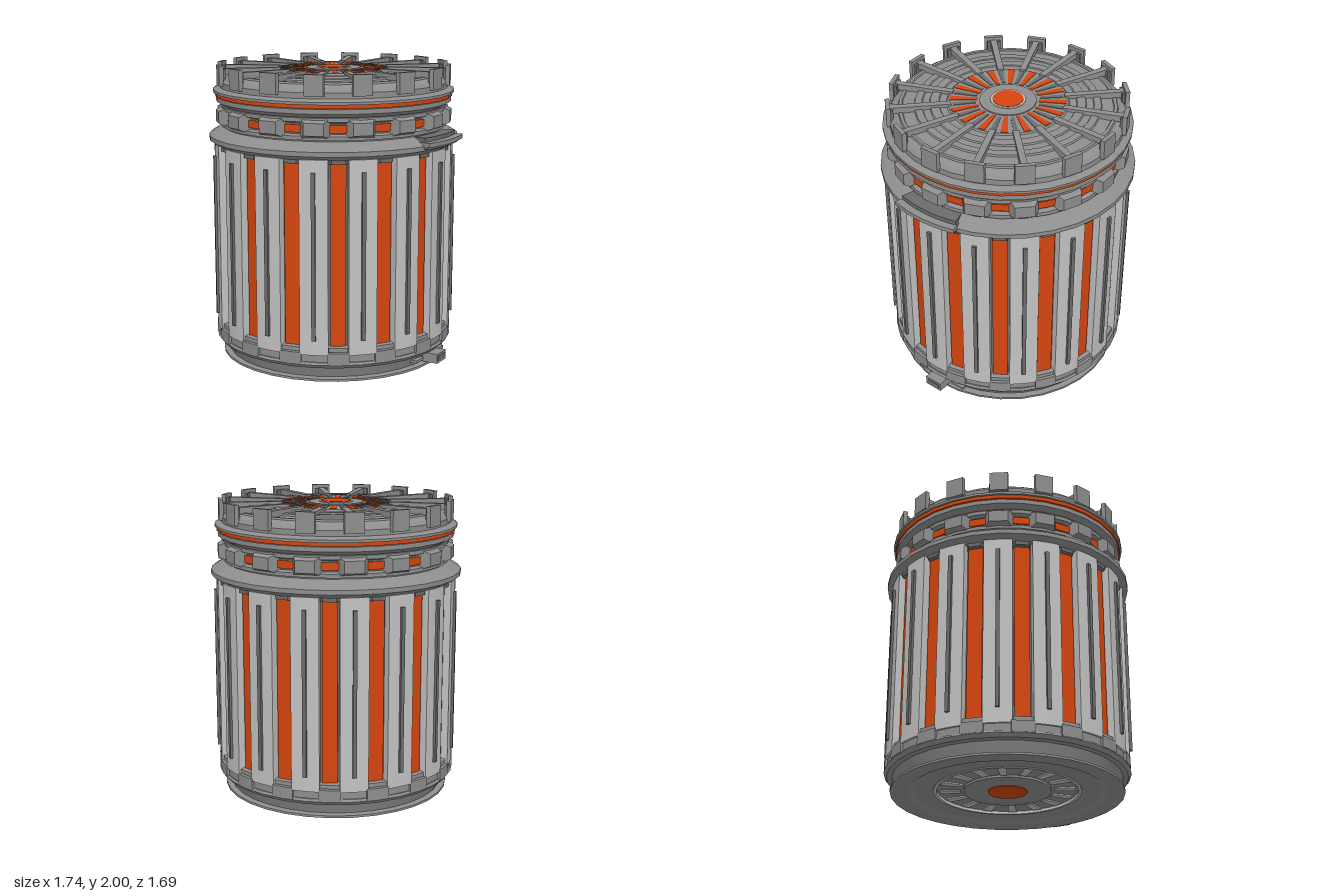
import * as THREE from 'three';
import { toCreasedNormals } from 'three/addons/utils/BufferGeometryUtils.js';

const mat = (name, color) => {
  const m = new THREE.MeshStandardMaterial({ color });
  m.name = name;
  return m;
};

export function createModel() {
  const grey = mat('grey metal', 0x8e8e8e);
  const light = mat('light panel metal', 0xc2c2c2);
  const dark = mat('dark metal', 0x6c6c6c);
  const orange = mat('orange glow', 0xd5450f);

  const model = new THREE.Group();
  model.name = 'canister';
  const body = new THREE.Group();
  body.name = 'canisterBody';
  body.position.x = -0.03;
  model.add(body);

  const COUNT = 16, STEP = Math.PI * 2 / COUNT;
  const PANEL = THREE.MathUtils.degToRad(6.05); // angle of the first panel
  const GAP = PANEL - STEP / 2;                 // angle of the first channel
  const LATCH = PANEL + Math.PI / 2;            // latch side

  const add = (name, geometry, material, angle = 0) => {
    const m = new THREE.Mesh(geometry, material);
    m.name = name;
    m.rotation.y = angle;
    body.add(m);
    return m;
  };
  const around = (name, geometry, material, start) => {
    for (let i = 0; i < COUNT; i++) add(name, geometry, material, start + i * STEP);
  };
  // Turned part: [radius, y] pairs from the bottom up
  const turned = (name, pts, material) => add(name, toCreasedNormals(
    new THREE.LatheGeometry(pts.map(([r, y]) => new THREE.Vector2(r, y)), 32, PANEL), 0.35), material);
  // Curved block centred on +z
  const sector = (r0, r1, y0, y1, deg, segs = 2) => {
    const a = -Math.PI / 2, w = THREE.MathUtils.degToRad(deg) / 2;
    const s = new THREE.Shape();
    s.absarc(0, 0, r1, a - w, a + w, false);
    s.absarc(0, 0, r0, a + w, a - w, true);
    const g = new THREE.ExtrudeGeometry(s, { depth: y1 - y0, bevelEnabled: false, curveSegments: segs });
    g.rotateX(-Math.PI / 2).translate(0, y0, 0);
    return toCreasedNormals(g, 0.35);
  };
  // Block between two radii, its outer face scaled by fx, fy
  const block = (w, y0, y1, r0, r1, fx = 1, fy = 1) => {
    const g = new THREE.BoxGeometry(w, y1 - y0, r1 - r0);
    const p = g.attributes.position;
    for (let i = 0; i < p.count; i++) {
      if (p.getZ(i) > 0) p.setXY(i, p.getX(i) * fx, p.getY(i) * fy);
    }
    g.translate(0, (y0 + y1) / 2, (r0 + r1) / 2);
    g.computeVertexNormals();
    return g;
  };
  const disc = (r, y, h) => new THREE.CylinderGeometry(r, r, h, 32).translate(0, y, 0);

  // Base with foot rim and flange
  turned('base', [[0, 0.025], [0.29, 0.025], [0.29, 0.04], [0.48, 0.04], [0.48, 0.025], [0.62, 0.025],
    [0.66, 0.0], [0.775, 0.0], [0.775, 0.015], [0.735, 0.02], [0.765, 0.095], [0.8, 0.1],
    [0.82, 0.125], [0.81, 0.14], [0.74, 0.145]], grey);
  turned('undersideRing', [[0.47, 0.045], [0.47, 0.02], [0.49, 0.02], [0.49, 0.045]].reverse(), light)
    .material.side = THREE.DoubleSide;
  add('undersideGlow', disc(0.13, 0.0225, 0.006), orange);
  around('undersideSlot', sector(0.31, 0.45, 0.03, 0.039, 8), light, PANEL);

  // Core with light panels, ribs and glowing channels
  turned('core', [[0.755, 0.14], [0.755, 1.5]], dark);
  around('sidePanel', sector(0.75, 0.815, 0.19, 1.47, 13.2), light, PANEL);
  around('panelFoot', sector(0.75, 0.8, 0.13, 0.2, 13.2), grey, PANEL);
  around('panelRib', block(0.026, 0.29, 1.39, 0.805, 0.832), dark, PANEL);
  around('glowStrip', block(0.1, 0.24, 1.44, 0.763, 0.771), orange, GAP);
  around('channelFoot', sector(0.75, 0.818, 0.13, 0.205, 10.5), grey, GAP);
  around('channelSill', block(0.125, 0.2, 0.245, 0.75, 0.8, 1, 0.6), grey, GAP);
  around('channelLintel', block(0.125, 1.435, 1.49, 0.75, 0.8, 0.7, 0.8), dark, GAP);

  // Collar flange
  turned('collar', [[0.74, 1.46], [0.8, 1.465], [0.85, 1.495], [0.85, 1.525], [0.785, 1.565],
    [0.75, 1.575], [0.72, 1.58]], grey);

  // Neck with bevelled lugs and glowing windows
  turned('neck', [[0.75, 1.57], [0.735, 1.6], [0.735, 1.71], [0.77, 1.74]], dark);
  turned('neckLowerRail', [[0.72, 1.58], [0.765, 1.585], [0.765, 1.61], [0.72, 1.625]], grey);
  turned('neckUpperRail', [[0.72, 1.685], [0.765, 1.7], [0.765, 1.725], [0.72, 1.735]], grey);
  around('neckLug', block(0.2, 1.585, 1.73, 0.72, 0.8, 0.64, 0.55), grey, PANEL);
  around('neckWindow', block(0.11, 1.63, 1.68, 0.737, 0.745), orange, GAP);

  // Seal rings
  turned('lowerSeal', [[0.73, 1.725], [0.765, 1.735], [0.8, 1.755], [0.8, 1.785], [0.76, 1.79]], grey);
  turned('glowSeal', [[0.77, 1.788], [0.807, 1.79], [0.807, 1.815], [0.77, 1.818]], orange);
  turned('upperSeal', [[0.76, 1.812], [0.82, 1.815], [0.82, 1.832], [0.795, 1.845], [0.76, 1.85]], grey);

  // Stepped lid
  turned('lid', [[0.775, 1.84], [0.775, 1.885], [0.755, 1.91], [0.715, 1.93], [0.71, 1.942], [0.69, 1.942],
    [0.685, 1.935], [0.61, 1.94], [0.605, 1.952], [0.56, 1.954], [0.555, 1.948], [0.51, 1.95],
    [0.505, 1.96], [0.45, 1.962], [0.445, 1.955], [0.4, 1.957], [0.39, 1.965], [0, 1.965]], grey);
  around('lidTooth', block(0.13, 1.865, 2.0, 0.763, 0.792, 0.95, 1), grey, PANEL);
  around('toothBracket', block(0.09, 1.9, 1.975, 0.745, 0.765), dark, PANEL);
  around('lidSpoke', block(0.042, 1.935, 1.978, 0.37, 0.765), grey, PANEL);
  around('lidGlowSlot', sector(0.2, 0.38, 1.962, 1.969, 7), orange, GAP);
  around('lidVent', sector(0.21, 0.36, 1.962, 1.969, 5.5), dark, PANEL);
  add('lidHub', disc(0.185, 1.965, 0.014), grey);
  add('hubRing', disc(0.115, 1.969, 0.016), light);
  add('hubGlow', disc(0.1, 1.975, 0.009), orange);

  // Upper latch on the collar
  add('latchPlate', sector(0.79, 0.895, 1.522, 1.55, 31, 6), grey, LATCH);
  add('latchLip', sector(0.79, 0.87, 1.505, 1.524, 31, 6), dark, LATCH);
  add('latchCover', sector(0.76, 0.845, 1.55, 1.578, 30, 6), dark, LATCH);

  // Lower latch: framed box with a bar on each side
  add('lowerLatchBox', block(0.13, 0.025, 0.09, 0.72, 0.855), grey, LATCH);
  add('lowerLatchInset', block(0.1, 0.04, 0.075, 0.852, 0.859), dark, LATCH);
  for (const side of [-1, 1]) {
    add('lowerLatchBar', block(0.1, 0.05, 0.068, 0.72, 0.775).translate(side * 0.145, 0, -0.005), grey, LATCH);
  }
  return model;
}
